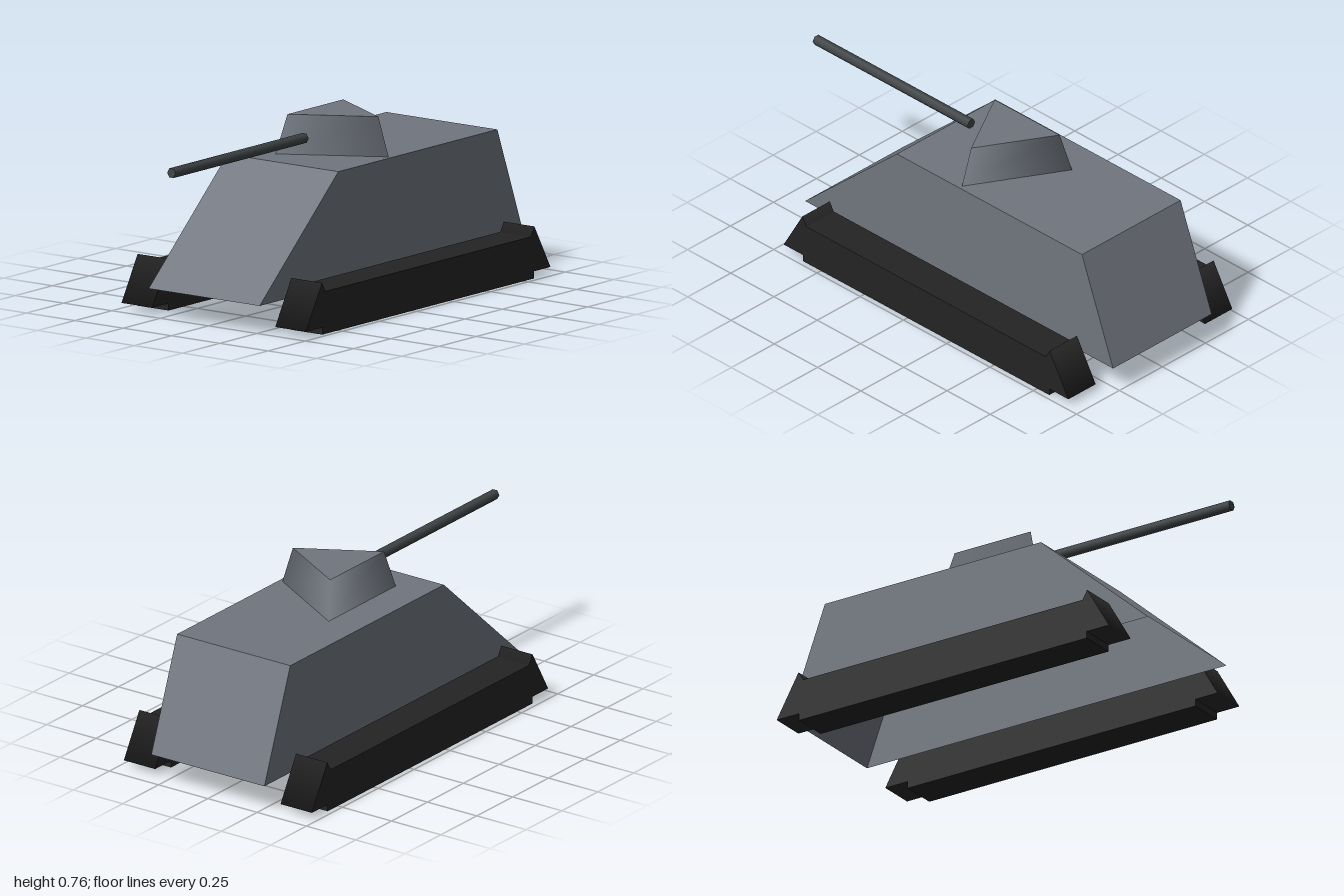
import * as THREE from 'three';

const material = (name, color, extra = {}) =>
  Object.assign(new THREE.MeshStandardMaterial({ color, ...extra }), { name });

export function createModel() {
  const armour = material('armour grey', 0x71767f, { side: THREE.DoubleSide });
  const gunMetal = material('gun metal', 0x404547);
  const rubber = material('track black', 0x242424);

  const model = new THREE.Group();
  model.name = 'tank';

  function add(parent, name, geometry, mat, x, y, z) {
    const mesh = new THREE.Mesh(geometry, mat);
    mesh.name = name;
    mesh.position.set(x, y, z);
    parent.add(mesh);
    return mesh;
  }

  // Hull: box with sloped front and rear plates, open underneath
  const hull = new THREE.BoxGeometry(0.574, 0.475, 2);
  const pos = hull.attributes.position;
  for (let i = 0; i < pos.count; i++) {
    const top = pos.getY(i) > 0;
    const front = pos.getZ(i) > 0;
    pos.setZ(i, front ? (top ? 0.25 : 0.78) : (top ? -0.82 : -1));
  }
  const index = Array.from(hull.index.array);
  index.splice(18, 6); // drop the bottom face
  hull.setIndex(index);
  hull.clearGroups();
  hull.computeVertexNormals();
  add(model, 'hull', hull, armour, 0, 0.3625, 0);

  // Turret: three-sided tapered drum with one corner towards +x
  const turret = new THREE.CylinderGeometry(0.217, 0.27, 0.162, 3, 1, false, Math.PI / 2);
  add(model, 'turret', turret, armour, 0, 0.681, -0.11);

  // Gun barrel: hexagonal rod pointing forward
  const barrel = new THREE.CylinderGeometry(0.022, 0.022, 0.895, 6, 1, false, Math.PI / 2);
  barrel.rotateX(Math.PI / 2);
  add(model, 'gunBarrel', barrel, gunMetal, 0, 0.681, 0.5525);

  // Tracks: long block with a three-sided roller at each end
  const block = new THREE.BoxGeometry(0.159, 0.178, 1.425);
  const roller = new THREE.CylinderGeometry(0.125, 0.125, 0.159, 3, 1, false, Math.PI / 2);
  roller.rotateZ(Math.PI / 2);
  for (const [side, name] of [[1, 'leftTrack'], [-1, 'rightTrack']]) {
    const track = new THREE.Group();
    track.name = name;
    track.position.x = side * 0.3975;
    add(track, 'trackBlock', block, rubber, 0, 0.089, -0.1075);
    add(track, 'frontRoller', roller, rubber, 0, 0.0925, 0.607);
    add(track, 'rearRoller', roller, rubber, 0, 0.0925, -0.822);
    model.add(track);
  }

  return model;
}
